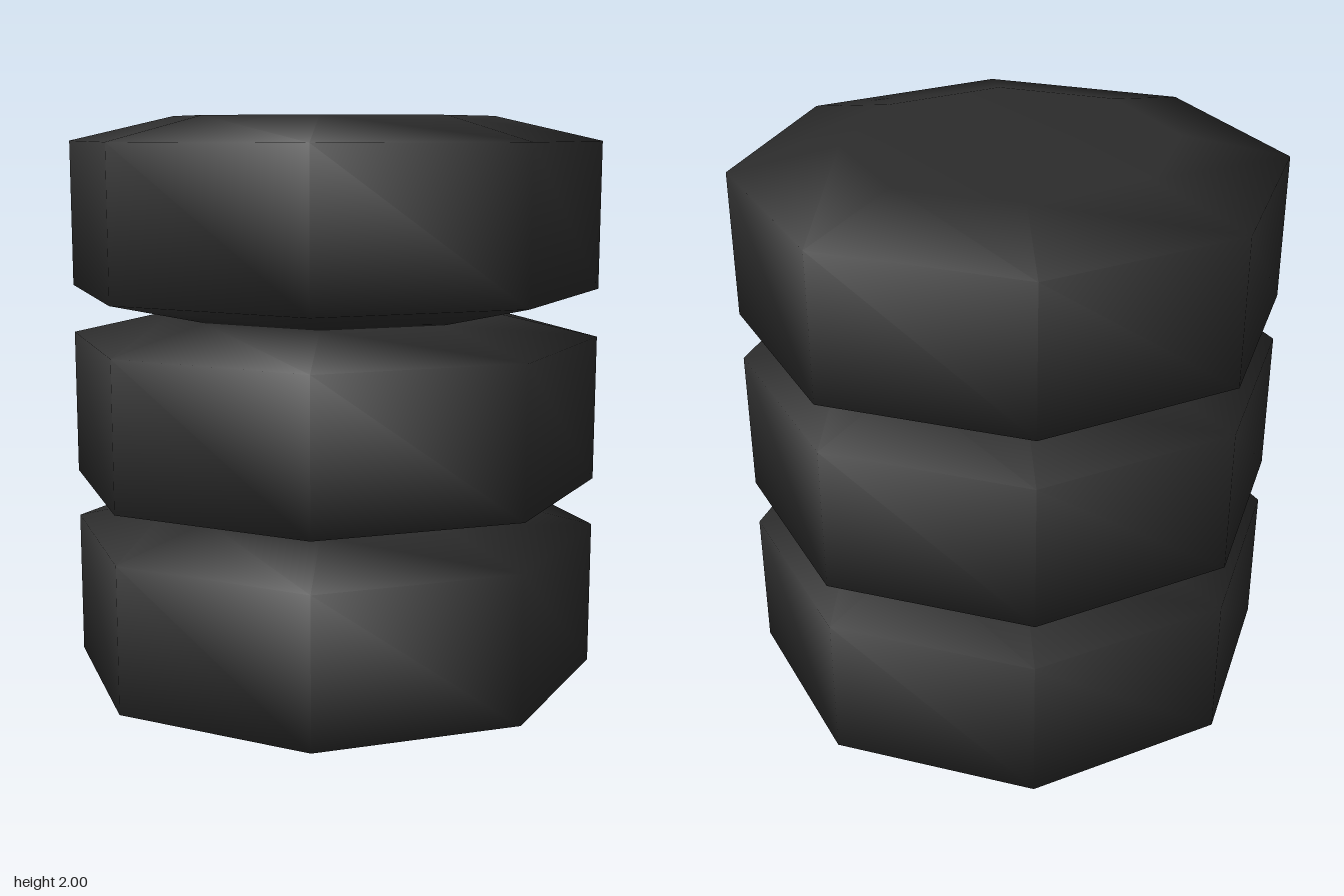
import * as THREE from 'three';

export function createModel() {
  const model = new THREE.Group();
  model.name = 'tyreStack';

  const rubber = new THREE.MeshStandardMaterial({ color: 0x2c2c2c });
  rubber.name = 'black rubber';

  const count = 3;
  const height = 2 / count;
  const radius = 0.915;
  const flatRadius = 0.55;
  const bevel = 0.083;

  // Closed eight-sided tyre with sloped shoulders and smooth normals
  const profile = [
    [0, 0],
    [flatRadius, 0],
    [radius, bevel],
    [radius, height - bevel],
    [flatRadius, height],
    [0, height],
  ].map(([x, y]) => new THREE.Vector2(x, y));
  const tyreGeometry = new THREE.LatheGeometry(profile, 8);

  // Tyres stacked from the ground up
  for (let i = 0; i < count; i++) {
    const tyre = new THREE.Mesh(tyreGeometry, rubber);
    tyre.name = ['bottomTyre', 'middleTyre', 'topTyre'][i];
    tyre.position.y = i * height;
    model.add(tyre);
  }

  return model;
}
